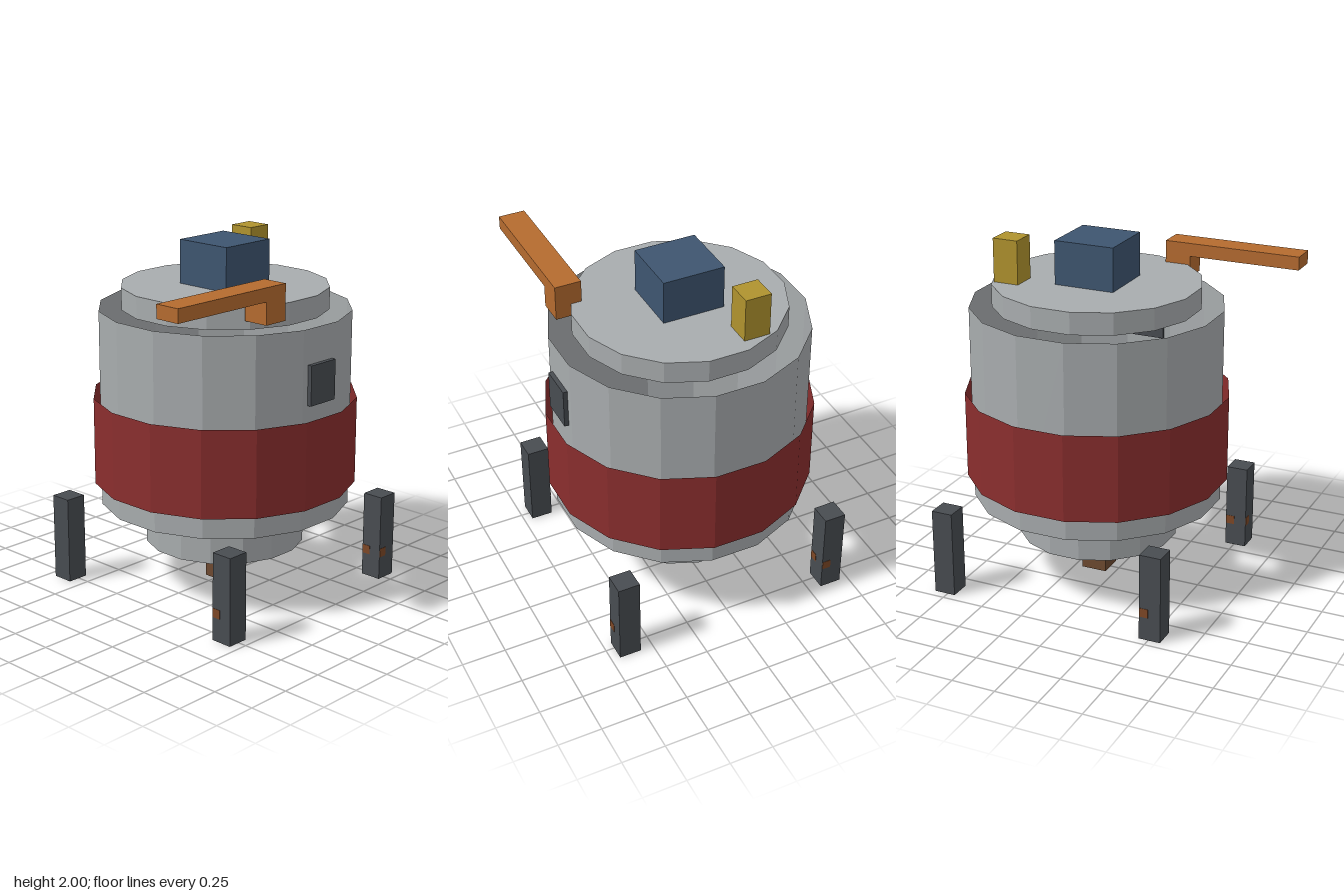
import * as THREE from 'three';

const SIDES = 16;
const AXIS_X = 0.13; // the tank stands off centre because of the long lever

function material(name, color, doubleSided = false) {
  const m = new THREE.MeshStandardMaterial({ color, flatShading: true });
  if (doubleSided) m.side = THREE.DoubleSide;
  m.name = name;
  return m;
}

export function createModel() {
  const model = new THREE.Group();
  model.name = 'tank';

  const grey = material('steel grey', 0xa8acae, true);
  const red = material('band red', 0x8a2e2e, true);
  const dark = material('dark iron', 0x484c51);
  const blue = material('cap blue', 0x3e5570);
  const yellow = material('valve yellow', 0xb0932e);
  const orange = material('lever orange', 0xb56b2f);
  const brown = material('pipe brown', 0x6d4930);
  const rust = material('bolt rust', 0x7d4726);

  // Box given by its minimum and maximum along each axis
  function box(name, mat, [x0, x1], [y0, y1], [z0, z1], parent = model) {
    const mesh = new THREE.Mesh(new THREE.BoxGeometry(x1 - x0, y1 - y0, z1 - z0), mat);
    mesh.position.set((x0 + x1) / 2, (y0 + y1) / 2, (z0 + z1) / 2);
    mesh.name = name;
    parent.add(mesh);
    return mesh;
  }

  // Open sixteen-sided ring, sized by the distance to its flats
  const radius = (flat) => flat / Math.cos(Math.PI / SIDES);
  function ring(name, mat, flat, y0, y1) {
    const r = radius(flat);
    const geo = new THREE.CylinderGeometry(r, r, y1 - y0, SIDES, 1, true, Math.PI / SIDES);
    const mesh = new THREE.Mesh(geo, mat);
    mesh.position.set(AXIS_X, (y0 + y1) / 2, 0);
    mesh.name = name;
    model.add(mesh);
  }

  // Flat disc closing a ring, facing up (1) or down (-1)
  function disc(name, mat, flat, y, facing) {
    const geo = new THREE.CircleGeometry(radius(flat), SIDES, Math.PI / SIDES);
    geo.rotateX(-facing * Math.PI / 2);
    const mesh = new THREE.Mesh(geo, mat);
    mesh.position.set(AXIS_X, y, 0);
    mesh.name = name;
    model.add(mesh);
  }

  // Tank: open wall, band, raised lid and narrow base
  ring('tankWall', grey, 0.7, 0.5, 1.627);
  ring('band', red, 0.737, 0.627, 1.127);
  ring('lidRim', grey, 0.575, 1.627, 1.752);
  disc('lidTop', grey, 0.575, 1.752, 1);
  ring('baseWall', grey, 0.449, 0.252, 0.5);
  disc('baseBottom', grey, 0.449, 0.252, -1);

  // Fittings on the lid
  box('topCap', blue, [-0.047, 0.303], [1.752, 2], [-0.177, 0.175]);
  box('valve', yellow, [0.48, 0.628], [1.752, 2], [-0.275, -0.127]);

  // Lever with its short post
  const lever = new THREE.Group();
  lever.name = 'lever';
  model.add(lever);
  box('leverArm', orange, [-0.87, -0.073], [1.802, 1.878], [0.475, 0.625], lever);
  box('leverPost', orange, [-0.222, -0.073], [1.677, 1.802], [0.475, 0.625], lever);

  // Front panel and bottom pipe
  box('frontPanel', dark, [0.03, 0.228], [1.205, 1.43], [0.687, 0.725]);
  box('bottomPipe', brown, [0.053, 0.203], [0, 0.252], [-0.073, 0.073]);

  // Four legs, each turned a quarter from the last, with two flush bolt plates
  for (let i = 0; i < 4; i++) {
    const corner = new THREE.Group();
    corner.name = 'leg' + (i + 1);
    corner.position.x = AXIS_X;
    corner.rotation.y = i * Math.PI / 2;
    model.add(corner);
    box('legPost', dark, [0.575, 0.7], [0, 0.503], [0.575, 0.7], corner);
    box('outerBolt', rust, [0.577, 0.628], [0.135, 0.187], [0.698, 0.702], corner);
    box('innerBolt', rust, [0.573, 0.577], [0.135, 0.187], [0.577, 0.628], corner);
  }

  return model;
}
